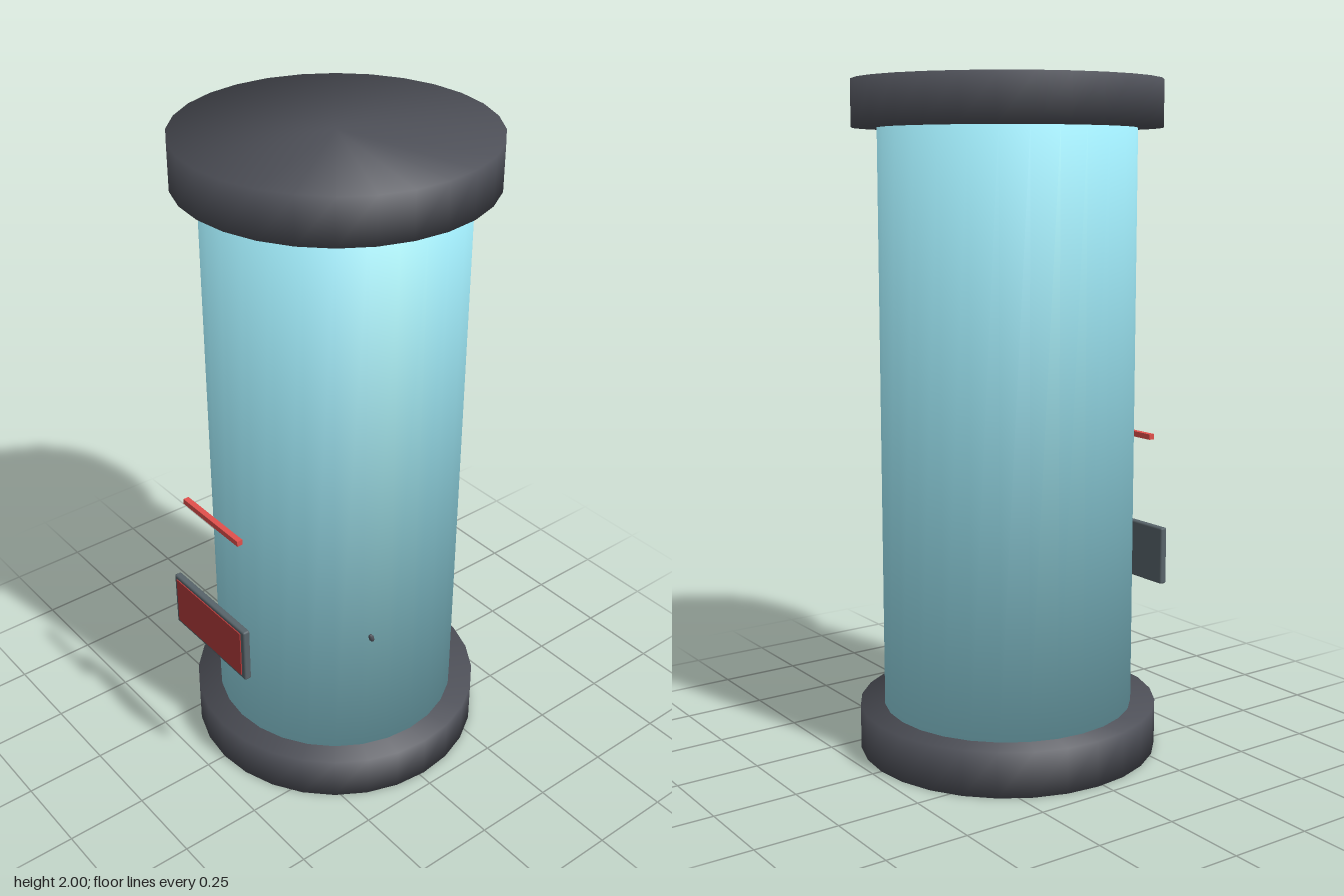
import * as THREE from 'three';
import { RoundedBoxGeometry } from 'three/addons/geometries/RoundedBoxGeometry.js';

const SIDES = 28;
const AXIS_Z = -0.017; // the capsule sits slightly behind the plaque

const mat = (color) => new THREE.MeshStandardMaterial({ color });

function add(group, name, geometry, material, x, y, z) {
  const mesh = new THREE.Mesh(geometry, material);
  mesh.name = name;
  mesh.position.set(x, y, z);
  group.add(mesh);
  return mesh;
}

// Closed cylinder whose shading flows softly over the rims:
// rim normals lean 45 degrees, end centres point straight up or down.
function softCylinder(radius, height) {
  const geo = new THREE.CylinderGeometry(radius, radius, height, SIDES);
  const p = geo.attributes.position;
  const n = new THREE.Vector3();
  for (let i = 0; i < p.count; i++) {
    n.set(p.getX(i), Math.sign(p.getY(i)) * radius, p.getZ(i)).normalize();
    geo.attributes.normal.setXYZ(i, n.x, n.y, n.z);
  }
  return geo;
}

export function createModel() {
  const model = new THREE.Group();
  model.name = 'displayTank';

  const dark = mat(0x4e5058);
  const glass = mat(0x9be4f2);
  const frame = mat(0x58646a);
  const panelRed = mat(0xb03a3a);
  const barRed = mat(0xe2504c);

  // Base, lid and the glass cylinder between them
  add(model, 'base', softCylinder(0.453, 0.136), dark, 0, 0.068, AXIS_Z);
  add(model, 'lid', softCylinder(0.453, 0.136), dark, 0, 1.932, AXIS_Z);
  add(model, 'glassTube', softCylinder(0.379, 1.74), glass, 0, 1.0, AXIS_Z);

  // Plaque floating in front of the glass
  add(model, 'plaqueFrame', new RoundedBoxGeometry(0.362, 0.18, 0.023, 2, 0.006), frame, 0, 0.55, 0.455);
  add(model, 'plaquePanel', new THREE.BoxGeometry(0.33, 0.155, 0.02), panelRed, 0, 0.552, 0.46);

  // Thin marker bar above the plaque
  add(model, 'markerBar', new THREE.BoxGeometry(0.272, 0.017, 0.018), barRed, 0, 0.925, 0.436);

  // Small tip just breaking through the side of the glass
  const tip = add(model, 'tip', new THREE.SphereGeometry(0.008, 10, 8), dark, 0.352, 0.56, 0.126);
  tip.scale.set(1, 2, 1);
  tip.rotation.x = 0.35;

  return model;
}
